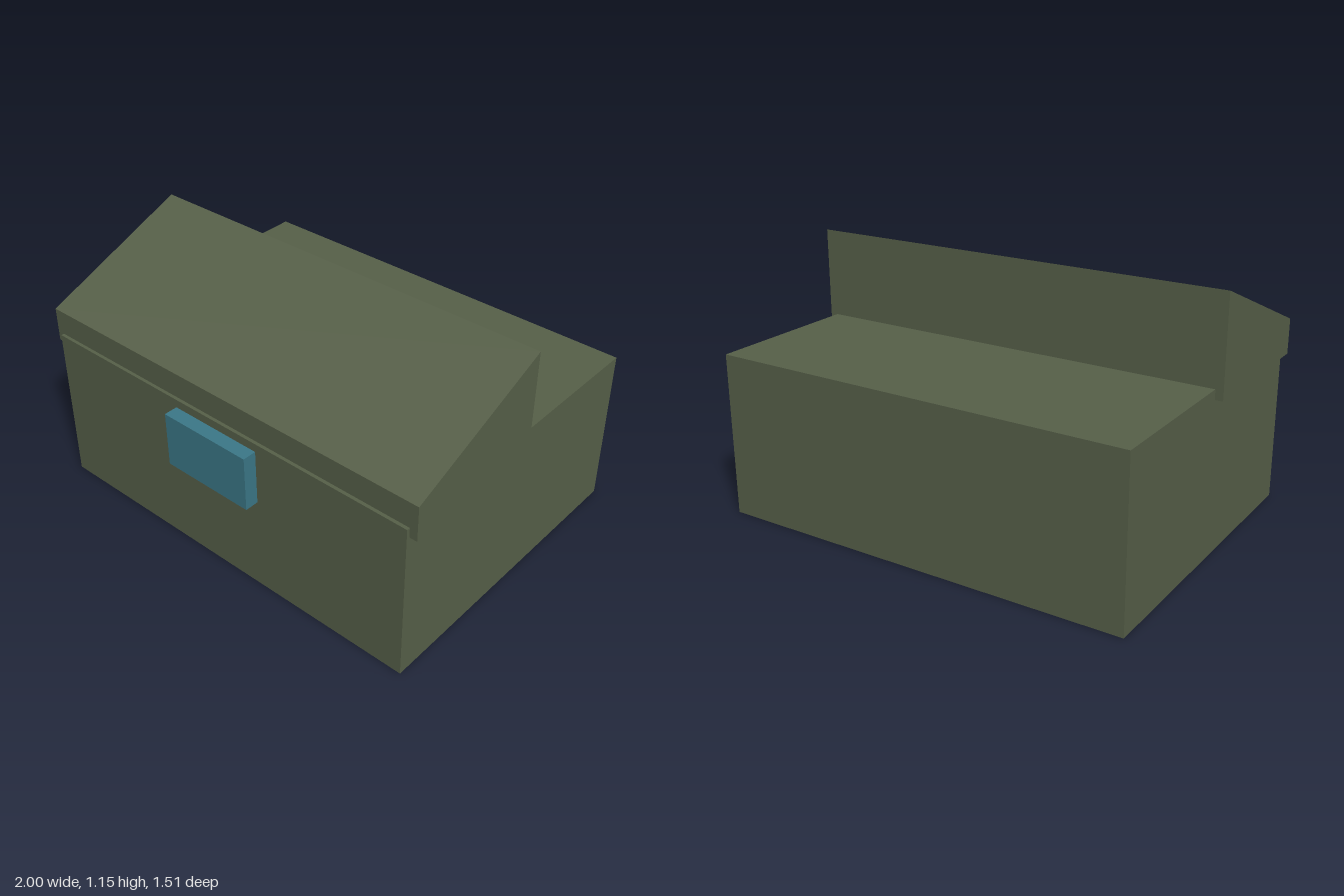
import * as THREE from 'three';

export function createModel() {
  const group = new THREE.Group();
  const green = new THREE.MeshStandardMaterial({ color: 0x576049 });
  green.name = 'olive green';
  const teal = new THREE.MeshStandardMaterial({ color: 0x3c7888 });
  teal.name = 'teal';

  const add = (name, geometry, material) => {
    const mesh = new THREE.Mesh(geometry, material);
    mesh.name = name;
    group.add(mesh);
    return mesh;
  };

  // Box-shaped body
  add('body', new THREE.BoxGeometry(1.93, 0.742, 1.449), green).position.set(0, 0.371, -0.0325);

  // Sloping lid over the front half: side profile in (z, y), extruded across x
  const profile = new THREE.Shape([
    [-0.035, 0.697], [0.677, 0.697], [0.677, 0.857], [-0.035, 1.146],
  ].map(([z, y]) => new THREE.Vector2(z, y)));
  const lid = new THREE.ExtrudeGeometry(profile, { depth: 2, bevelEnabled: false });
  lid.translate(0, 0, -1).rotateY(-Math.PI / 2);
  add('lid', lid, green);

  // Latch block just in front of the body
  add('latch', new THREE.BoxGeometry(0.446, 0.255, 0.063), teal).position.set(0, 0.579, 0.726);

  return group;
}
